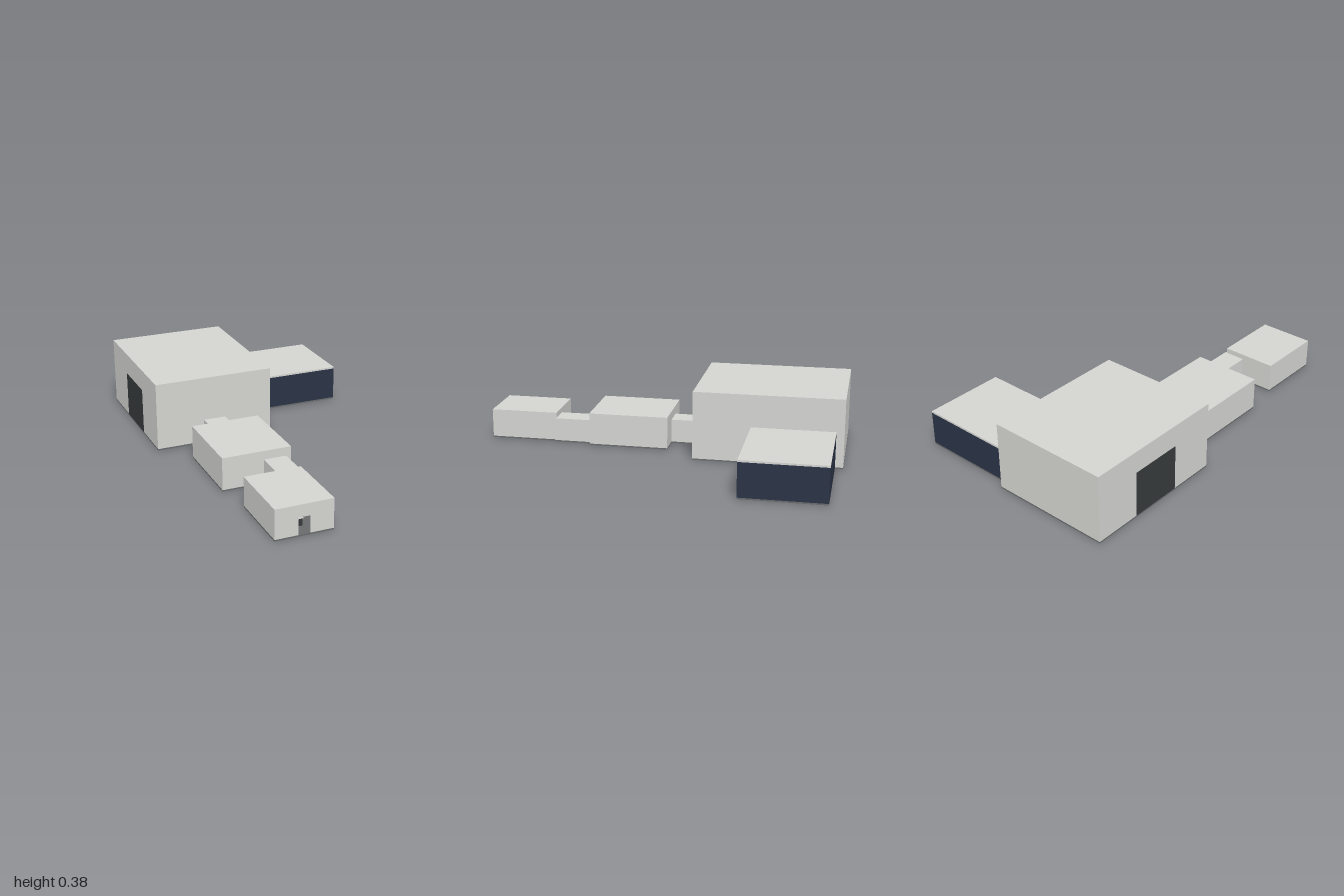
import * as THREE from 'three';

const mat = (name, color) => {
  const m = new THREE.MeshStandardMaterial({ color });
  m.name = name;
  return m;
};

const SLAB = 0.008; // floor thickness
const WALL = 0.01; // wall thickness

export function createModel() {
  const concrete = mat('light concrete', 0xd4d4d1);
  const floorGrey = mat('floor grey', 0x686a6c);
  const charcoal = mat('charcoal', 0x373b3b);
  const navy = mat('navy glass', 0x2a3346);
  const model = new THREE.Group();
  model.name = 'buildingComplex';

  // Box given by its minimum and maximum corners
  const box = (parent, name, material, x0, x1, y0, y1, z0, z1) => {
    const mesh = new THREE.Mesh(new THREE.BoxGeometry(x1 - x0, y1 - y0, z1 - z0), material);
    mesh.position.set((x0 + x1) / 2, (y0 + y1) / 2, (z0 + z1) / 2);
    mesh.name = name;
    parent.add(mesh);
  };

  // Hollow room: slab, side and back walls, roof, and a front wall with an optional doorway
  const room = (name, x0, x1, h, z0, z1, walls = concrete, door = null) => {
    const g = new THREE.Group();
    g.name = name;
    model.add(g);
    const top = h - WALL;
    box(g, 'floor', floorGrey, x0, x1, 0, SLAB, z0, z1);
    box(g, 'roof', concrete, x0, x1, top, h, z0, z1);
    box(g, 'rightWall', walls, x0, x0 + WALL, SLAB, top, z0, z1);
    box(g, 'leftWall', walls, x1 - WALL, x1, SLAB, top, z0, z1);
    box(g, 'backWall', walls, x0 + WALL, x1 - WALL, SLAB, top, z0, z0 + WALL);
    const a = x0 + WALL, b = x1 - WALL;
    const pts = [[a, SLAB], [b, SLAB], [b, top], [a, top]];
    if (door) {
      const [d0, d1, dh] = door;
      pts.splice(1, 0, [d0, SLAB], [d0, dh], [d1, dh], [d1, SLAB]);
    }
    const shape = new THREE.Shape(pts.map(([x, y]) => new THREE.Vector2(x, y)));
    const front = new THREE.Mesh(
      new THREE.ExtrudeGeometry(shape, { depth: WALL, bevelEnabled: false }), walls);
    front.position.z = z1 - WALL;
    front.name = 'frontWall';
    g.add(front);
    return g;
  };

  // Chain of rooms from back to front
  const hall = room('mainHall', -0.608, 0.057, 0.382, -1, -0.19);
  room('backCorridor', -0.338, -0.215, 0.137, -0.19, -0.025);
  room('middleRoom', -0.465, -0.087, 0.185, -0.025, 0.42);
  room('frontCorridor', -0.238, -0.114, 0.137, 0.42, 0.628);
  const entry = room('entryRoom', -0.43, -0.124, 0.166, 0.622, 1, concrete, [-0.309, -0.244, 0.1]);

  // Side wing with glazed walls under a thin roof
  room('glassWing', 0.057, 0.608, 0.203, -0.957, -0.505, navy);

  // Large dark door set flush in the hall's right side
  box(hall, 'hangarDoor', charcoal, -0.609, -0.606, SLAB, 0.262, -0.738, -0.447);

  // Low console standing behind the entry doorway
  box(entry, 'console', charcoal, -0.36, -0.25, SLAB, 0.045, 0.86, 0.92);
  box(entry, 'consoleTop', concrete, -0.36, -0.246, 0.045, 0.05, 0.855, 0.92);

  return model;
}
